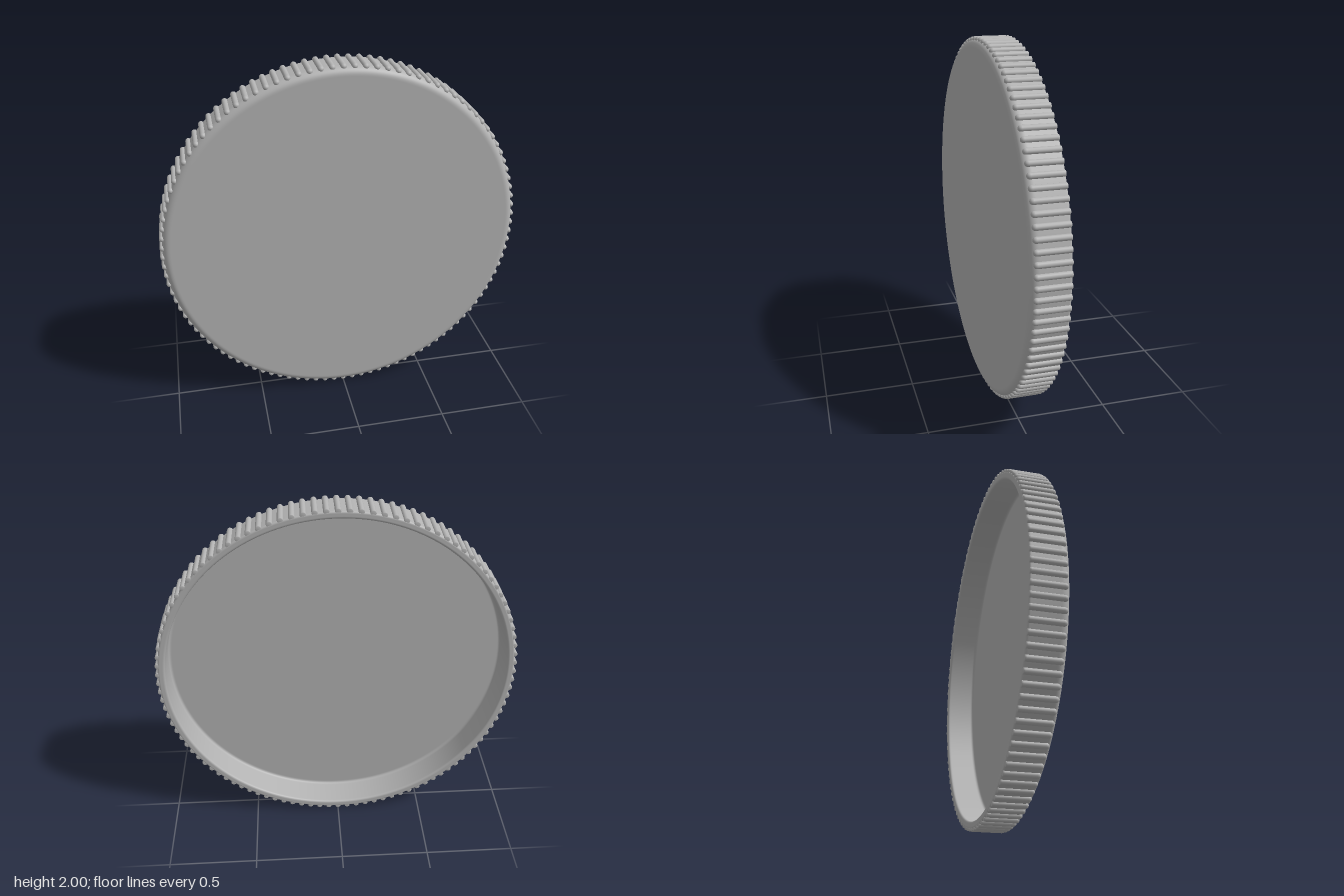
import * as THREE from 'three';
import { mergeGeometries } from 'three/addons/utils/BufferGeometryUtils.js';

const RIBS = 108;
const RIB_RADIUS = 0.016;
const RIB_CENTRE = 0.984;

// Points along a rounded corner, angles in degrees
function arc(cx, cy, r, from, to, steps = 8) {
  return Array.from({ length: steps + 1 }, (_, i) => {
    const a = THREE.MathUtils.degToRad(from + ((to - from) * i) / steps);
    return new THREE.Vector2(cx + r * Math.cos(a), cy + r * Math.sin(a));
  });
}

export function createModel() {
  const model = new THREE.Group();
  model.name = 'ribbedLid';
  const grey = new THREE.MeshStandardMaterial({ color: 0xb3b3b3 });
  grey.name = 'grey';

  // Hollow shell: recessed floor, inner wall, open back rim, outer wall, front face
  const profile = [
    new THREE.Vector2(0, 0.07),
    new THREE.Vector2(0.925, 0.07),
    ...arc(0.93, 0.055, 0.015, 90, 0, 5),
    new THREE.Vector2(0.945, 0.05),
    new THREE.Vector2(0.945, -0.082),
    ...arc(0.957, -0.088, 0.012, 180, 270, 5),
    new THREE.Vector2(0.96, -0.1),
    new THREE.Vector2(0.973, -0.1),
    ...arc(0.975, -0.09, 0.01, 270, 360, 5),
    new THREE.Vector2(0.985, -0.085),
    new THREE.Vector2(0.985, 0.055),
    ...arc(0.945, 0.06, 0.04, 0, 90, 9),
    new THREE.Vector2(0.94, 0.1),
    new THREE.Vector2(0, 0.1),
  ];
  const shellGeometry = new THREE.LatheGeometry(profile, 216);
  shellGeometry.rotateX(Math.PI / 2);
  const shell = new THREE.Mesh(shellGeometry, grey);
  shell.name = 'lidShell';

  // One grip rib: a rod with a domed front end
  const ribProfile = [
    new THREE.Vector2(0, -0.099),
    new THREE.Vector2(RIB_RADIUS - 0.003, -0.099),
    new THREE.Vector2(RIB_RADIUS, -0.096),
    new THREE.Vector2(RIB_RADIUS, -0.09),
    new THREE.Vector2(RIB_RADIUS, 0.068),
    ...arc(0, 0.07, RIB_RADIUS, 0, 90, 5),
  ];
  const rib = new THREE.LatheGeometry(ribProfile, 14);
  rib.rotateX(Math.PI / 2);
  rib.translate(RIB_CENTRE, 0, 0);

  // Ribs repeated around the outer wall
  const ribs = Array.from({ length: RIBS }, (_, i) =>
    rib.clone().rotateZ((i / RIBS) * Math.PI * 2));
  const grip = new THREE.Mesh(mergeGeometries(ribs), grey);
  grip.name = 'gripRibs';

  const lid = new THREE.Group();
  lid.name = 'lid';
  lid.add(shell, grip);
  lid.position.y = 1;
  model.add(lid);
  return model;
}
